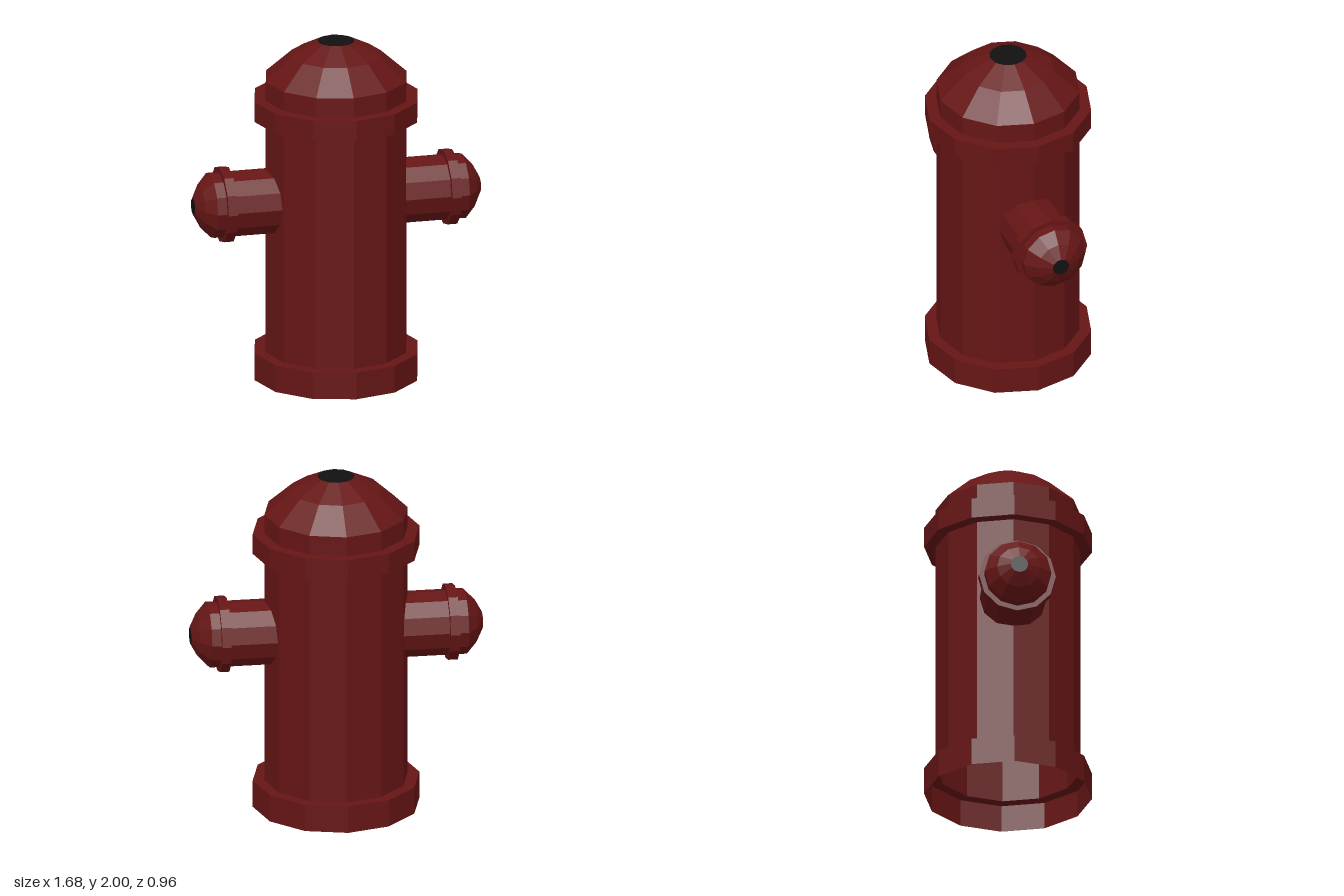
import * as THREE from 'three';

const SIDES = 12;
const red = new THREE.MeshStandardMaterial({ color: 0x661515, flatShading: true, side: THREE.DoubleSide });
const black = new THREE.MeshStandardMaterial({ color: 0x111111, flatShading: true, side: THREE.DoubleSide });

// Twelve-sided turned shell from [radius, height] pairs, listed bottom to top
function turned(name, profile, material = red) {
  const points = profile.map(([r, y]) => new THREE.Vector2(r, y));
  const mesh = new THREE.Mesh(new THREE.LatheGeometry(points, SIDES), material);
  mesh.name = name;
  return mesh;
}

// Side outlet, turned along y and then laid along x
function createOutlet(name) {
  const outlet = new THREE.Group();
  outlet.name = name;
  outlet.add(
    turned('outletPipe', [[0.19, 0.36], [0.19, 0.74]]),
    turned('outletCollar', [[0.19, 0.63], [0.22, 0.63], [0.22, 0.685], [0.19, 0.685]]),
    turned('outletCap', [[0.19, 0.74], [0.125, 0.80], [0.05, 0.84]]),
    turned('outletTip', [[0.05, 0.84], [0, 0.84]], black)
  );
  outlet.position.y = 1.07;
  return outlet;
}

export function createModel() {
  const hydrant = new THREE.Group();
  hydrant.name = 'hydrant';

  // Hollow body, open underneath
  hydrant.add(
    turned('baseRing', [[0.48, 0], [0.48, 0.16], [0.413, 0.16]]),
    turned('barrel', [[0.413, 0.16], [0.413, 1.55]]),
    turned('upperFlange', [[0.413, 1.55], [0.48, 1.55], [0.48, 1.67], [0.413, 1.67]]),
    turned('dome', [[0.413, 1.67], [0.413, 1.785], [0.263, 1.92], [0.107, 2]]),
    turned('domeTip', [[0.107, 2], [0, 2]], black)
  );

  // Matching outlets on both sides
  for (const [name, side] of [['leftOutlet', 1], ['rightOutlet', -1]]) {
    const outlet = createOutlet(name);
    outlet.rotation.z = -side * Math.PI / 2;
    hydrant.add(outlet);
  }
  return hydrant;
}
